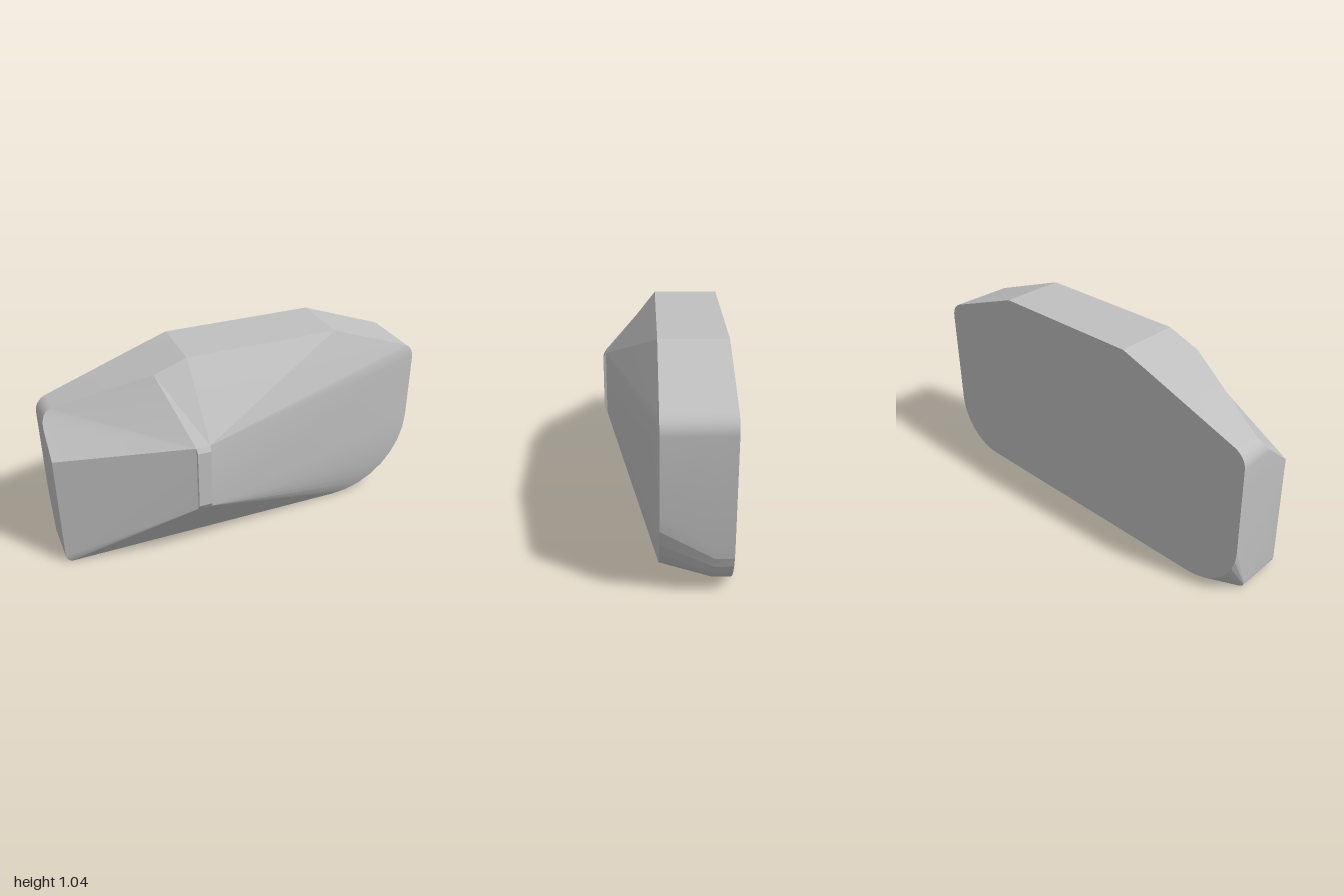
import * as THREE from 'three';
import { toCreasedNormals } from 'three/addons/utils/BufferGeometryUtils.js';

const FRONT = 0.02, STEP = -0.22, BACK = -0.305;

// Points along a rounded corner, counter-clockwise, angles in degrees
function arc(cx, cy, r, a0, a1, n = 8) {
  return Array.from({ length: n + 1 }, (_, i) => {
    const a = THREE.MathUtils.degToRad(a0 + (a1 - a0) * i / n);
    return [cx + r * Math.cos(a), cy + r * Math.sin(a)];
  });
}

// Depth of the slanted cut across the upper corner on the -x side
const cutZ = (x, y) => FRONT - 1.17 * (y - 0.62 - 0.689 * (x + 1));

// Each station runs from the crest over the shoulder to the back
function buildStations() {
  const stations = [];
  const add = (crest, shoulder, step = shoulder, back = step, z = FRONT) => {
    const [x, y] = crest;
    const low = y < 0.5;
    stations.push([
      [x * 0.97 - 0.01, low ? 0.37 : 0.675, 0.305],
      [x, y, 0.29],
      [shoulder[0], shoulder[1], z],
      [step[0], step[1], STEP],
      [back[0], back[1], BACK],
    ]);
  };
  const BL = [-0.36, 0.345], BR = [-0.29, 0.345], UR = [-0.29, 0.7], UL = [-0.36, 0.7];

  // lower corner on the -x side: tight in front, wide at the back
  const tight = arc(-0.96, 0.04, 0.04, 180, 270);
  arc(-0.73, 0.27, 0.27, 180, 270).forEach((p, i) => add(BL, tight[i], tight[i], p));
  // lower corner on the +x side: wide in front, tighter behind
  const small = arc(0.73, 0.27, 0.27, 270, 360);
  arc(0.56, 0.44, 0.44, 270, 360).forEach((p, i) => add(BR, p, small[i]));
  // upper corner on the +x side and the top edge
  arc(0.91, 0.8, 0.09, 0, 70.6).forEach((p) => add(UR, p));
  add(UR, [0.5, 1.045]);
  add(UR, [-0.3, 1.045]);
  // cut upper corner on the -x side
  add(UL, [-0.47, 0.985]);
  arc(-0.91, 0.73, 0.09, 109.5, 180).forEach((p) => add(UL, p, p, p, cutZ(...p)));
  add(UL, [-1, 0.62]);
  return stations;
}

function bodyGeometry() {
  const stations = buildStations();
  const positions = [];
  const tri = (...pts) => {
    const [a, b, c] = pts.map((p) => new THREE.Vector3(...p));
    if (new THREE.Triangle(a, b, c).getArea() > 1e-7) positions.push(...pts.flat());
  };
  const last = stations[0].length - 1;
  stations.forEach((s, i) => {
    const t = stations[(i + 1) % stations.length];
    // side bands
    for (let k = 0; k < last; k++) {
      tri(s[k], s[k + 1], t[k + 1]);
      tri(s[k], t[k + 1], t[k]);
    }
    // crest cap and flat back
    tri([-0.325, 0.52, 0.305], s[0], t[0]);
    tri([0, 0.5, BACK], t[last], s[last]);
  });
  const geometry = new THREE.BufferGeometry();
  geometry.setAttribute('position', new THREE.Float32BufferAttribute(positions, 3));
  return toCreasedNormals(geometry, 0.18);
}

export function createModel() {
  const group = new THREE.Group();
  group.name = 'facetedBlock';
  const grey = new THREE.MeshStandardMaterial({ color: 0xc0c0c0 });
  grey.name = 'light grey';
  const body = new THREE.Mesh(bodyGeometry(), grey);
  body.name = 'body';
  group.add(body);
  return group;
}
